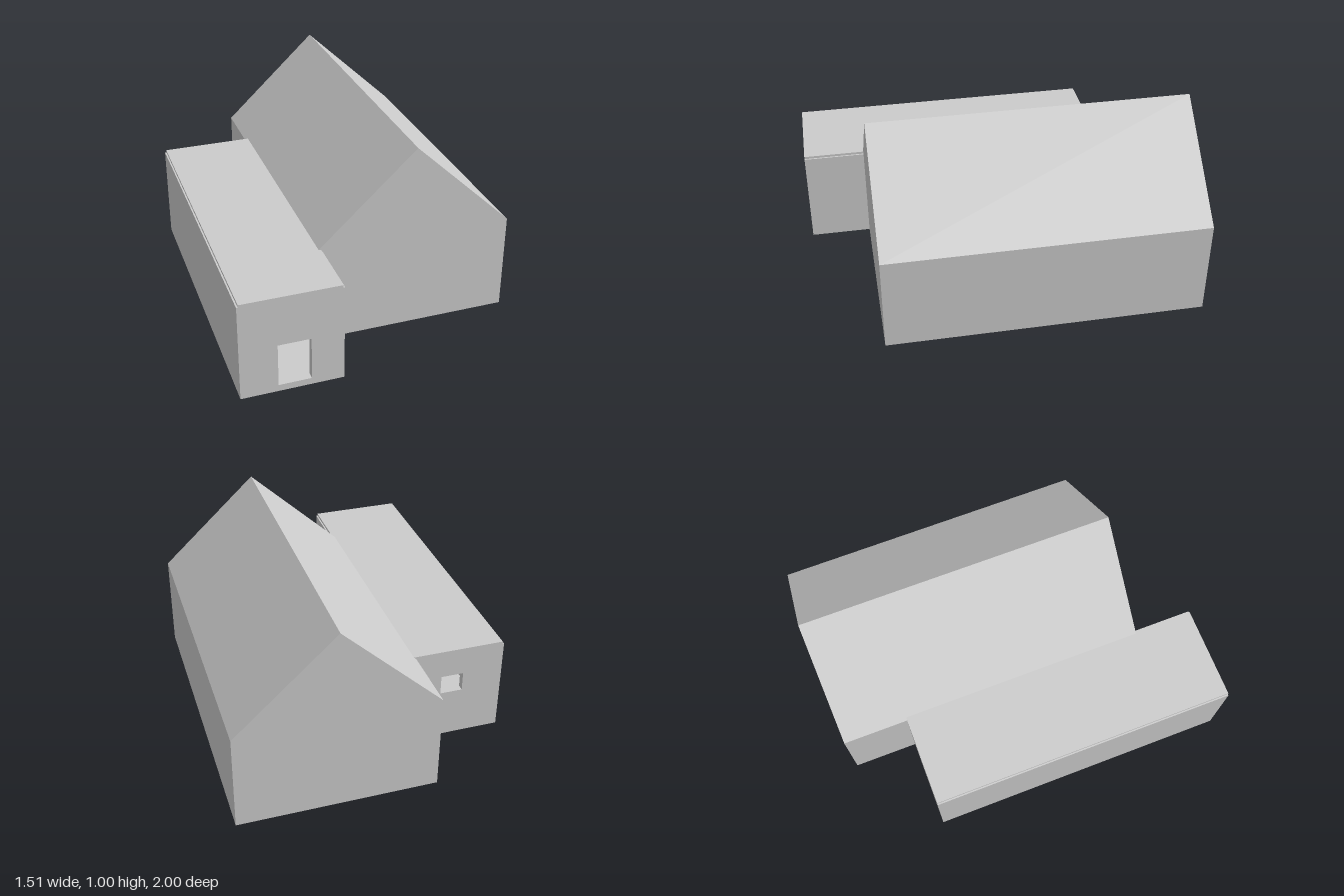
import * as THREE from 'three';

const material = new THREE.MeshStandardMaterial({ color: 0xcccccc, flatShading: true });

function add(group, name, geometry) {
  const mesh = new THREE.Mesh(geometry, material);
  mesh.name = name;
  group.add(mesh);
}

// Box given by its limits on each axis
function box(x0, x1, y0, y1, z0, z1) {
  return new THREE.BoxGeometry(x1 - x0, y1 - y0, z1 - z0)
    .translate((x0 + x1) / 2, (y0 + y1) / 2, (z0 + z1) / 2);
}

const outline = (points) => points.map(([x, y]) => new THREE.Vector2(x, y));
const rectangle = (x0, x1, y0, y1) => outline([[x0, y0], [x1, y0], [x1, y1], [x0, y1]]);

// Outline in x and y, drawn out from z0 to z1, with optional openings
function prism(points, z0, z1, openings = []) {
  const shape = new THREE.Shape(points);
  for (const o of openings) shape.holes.push(new THREE.Path(o.slice().reverse()));
  return new THREE.ExtrudeGeometry(shape, { depth: z1 - z0, bevelEnabled: false }).translate(0, 0, z0);
}

export function createModel() {
  const model = new THREE.Group();
  model.name = 'house';

  // Main gabled block
  const gable = outline([[-0.275, 0], [0.757, 0], [0.757, 0.517], [0.241, 1], [-0.275, 0.517]]);
  add(model, 'mainHouse', prism(gable, -1, 0.675));

  // Hollow flat-roofed annex
  const annex = new THREE.Group();
  annex.name = 'annex';
  model.add(annex);
  const left = -0.757, right = -0.241, back = -0.65, front = 1, top = 0.517, wall = 0.035;
  const endWall = rectangle(left, right, 0, top);

  // End walls, with the doorway in front and a small window behind
  add(annex, 'frontWall', prism(endWall, front - wall, front, [rectangle(-0.57, -0.405, 0.035, 0.265)]));
  add(annex, 'backWall', prism(endWall, back, back + wall, [rectangle(-0.54, -0.42, 0.27, 0.375)]));

  // Long walls and floor fit between the end walls
  const zb = back + wall, zf = front - wall;
  add(annex, 'outerWall', box(left, left + wall, 0, top, zb, zf));
  add(annex, 'innerWall', box(right - wall, right, 0, top, zb, zf));
  add(annex, 'floor', box(left + wall, right - wall, 0, wall, zb, zf));
  add(annex, 'partition', box(left + wall, -0.535, wall, top, -0.2, -0.2 + wall));

  // Roof slab, set in slightly along its long sides
  add(annex, 'annexRoof', box(left + 0.008, right - 0.008, top, 0.53, back, front));

  return model;
}
